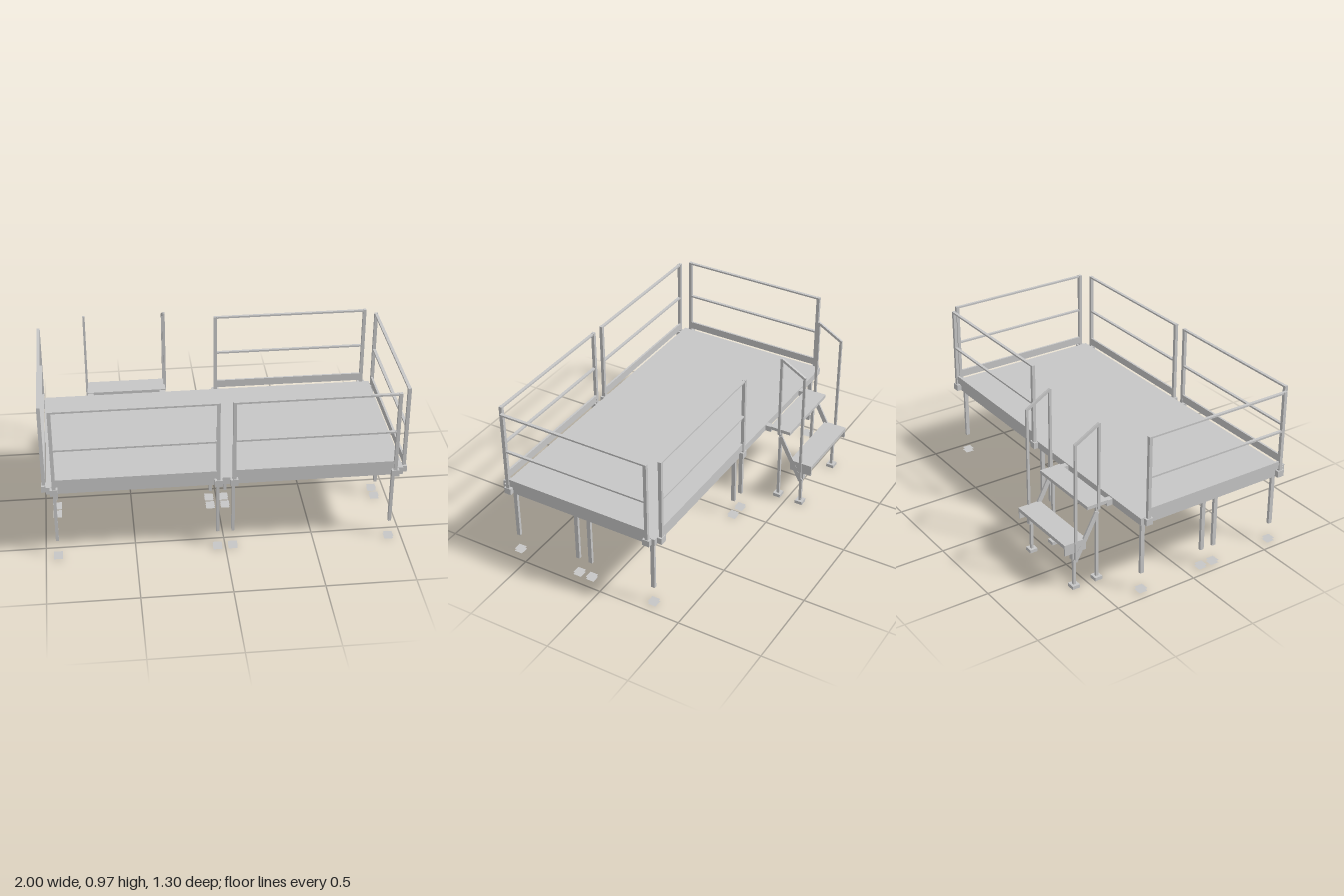
import * as THREE from 'three';

export function createModel() {
  const model = new THREE.Group();
  const metal = new THREE.MeshStandardMaterial({ color: 0xc6c6c6, side: THREE.DoubleSide });
  metal.name = 'light grey metal';

  const group = (name) => {
    const g = new THREE.Group();
    g.name = name;
    model.add(g);
    return g;
  };
  // Box given by its limits on each axis
  const box = (parent, name, [x0, x1], [y0, y1], [z0, z1]) => {
    const m = new THREE.Mesh(new THREE.BoxGeometry(x1 - x0, y1 - y0, z1 - z0), metal);
    m.position.set((x0 + x1) / 2, (y0 + y1) / 2, (z0 + z1) / 2);
    m.name = name;
    parent.add(m);
    return m;
  };
  const around = (c, w) => [c - w / 2, c + w / 2];

  // Deck panel on a frame of rails with two cross beams
  const deck = group('deck');
  const xEdge = 0.975, zBack = -0.345, zFront = 0.622, zMid = 0.139, t = 0.014;
  const frameY = [0.444, 0.472];
  box(deck, 'deckPanel', [-xEdge, xEdge], [0.472, 0.486], [zBack, zFront]);
  for (const [z, w] of [[zBack + t / 2, t], [zMid, 2 * t], [zFront - t / 2, t]])
    box(deck, 'frameRail', [-xEdge, xEdge], frameY, around(z, w));
  for (const [z0, z1] of [[zBack + t, zMid - t], [zMid + t, zFront - t]]) {
    for (const [x, w] of [[-xEdge + t / 2, t], [0, 2 * t], [xEdge - t / 2, t]])
      box(deck, 'frameRail', around(x, w), frameY, [z0, z1]);
    // Joists
    for (const s of [-1, 1]) for (let i = 1; i <= 3; i++)
      box(deck, 'joist', around(s * xEdge * i / 4, 0.014), [0.455, 0.472], [z0 + 0.02, z1 - 0.02]);
  }

  // Legs with sockets, and foot plates on the ground
  const legs = group('legs');
  const footGeo = new THREE.PlaneGeometry(0.05, 0.05).rotateX(-Math.PI / 2);
  for (const x of [-0.932, -0.044, 0.042, 0.928]) for (const z of [-0.304, 0.1, 0.182, 0.585]) {
    box(legs, 'leg', around(x, 0.017), [0.115, 0.472], around(z, 0.023));
    box(legs, 'legSocket', around(x, 0.042), [0.436, 0.445], around(z, 0.042));
    for (const y of [0.002, 0.018]) {
      const foot = new THREE.Mesh(footGeo, metal);
      foot.position.set(x, y, z);
      foot.name = 'footPlate';
      legs.add(foot);
    }
  }

  // Guard rail between two posts, built along x and then turned into place
  const railing = (length, x, z, turn) => {
    const r = group('railing');
    const h = length / 2;
    for (const s of [-h, h]) {
      box(r, 'railPost', around(s, 0.019), [0.445, 0.965], around(0, 0.019));
      box(r, 'postClamp', around(s, 0.042), [0.446, 0.484], [-0.013, 0.014]);
    }
    for (const y of [0.959, 0.727]) box(r, 'rail', [-h, h], around(y, 0.01), around(0, 0.017));
    box(r, 'toeBoard', [-h, h], [0.495, 0.54], around(-0.003, 0.012));
    r.position.set(x, 0, z);
    r.rotation.y = turn;
  };
  railing(0.888, -0.488, 0.635, 0);
  railing(0.886, 0.485, 0.635, 0);
  railing(0.886, 0.485, -0.358, Math.PI);
  railing(0.889, 0.986, 0.14, Math.PI / 2);
  railing(0.889, -0.986, 0.14, -Math.PI / 2);

  // Access stair at the back
  const stair = group('stair');
  const cx = -0.489;
  box(stair, 'upperTread', [-0.722, -0.256], [0.465, 0.485], [-0.507, -0.377]);
  box(stair, 'lowerTread', [-0.722, -0.256], [0.272, 0.294], [-0.652, -0.514]);
  for (const s of [-1, 1]) {
    const legX = cx + s * 0.214, railX = cx + s * 0.234;
    box(stair, 'hookTab', around(legX, 0.034), [0.445, 0.48], [-0.38, -0.345]);
    box(stair, 'treadEndPlate', around(cx + s * 0.228, 0.008), [0.227, 0.293], [-0.651, -0.515]);
    box(stair, 'legBracket', around(legX, 0.026), [0.182, 0.23], around(-0.582, 0.038));
    for (const [z, top] of [[-0.437, 0.465], [-0.583, 0.272]]) {
      box(stair, 'stairLeg', around(legX, 0.016), [0.018, top], around(z, 0.016));
      box(stair, 'stairFoot', around(legX, 0.048), [0, 0.02], around(z, 0.046));
    }
    // Sloping stringer
    const stringer = box(stair, 'stringer', around(railX - s * 0.006, 0.01), around(0.3, 0.3), around(-0.515, 0.028));
    stringer.rotation.x = Math.atan2(0.145, 0.27);
    // Handrail loop
    box(stair, 'handrailPost', around(railX, 0.013), [0.45, 0.965], around(-0.437, 0.015));
    box(stair, 'handrailPost', around(railX, 0.013), [0.185, 0.883], around(-0.583, 0.015));
    const handrail = box(stair, 'handrail', around(railX, 0.013), around(0.92, 0.015), around(-0.51, 0.172));
    handrail.rotation.x = -Math.atan2(0.082, 0.146);
  }
  return model;
}
